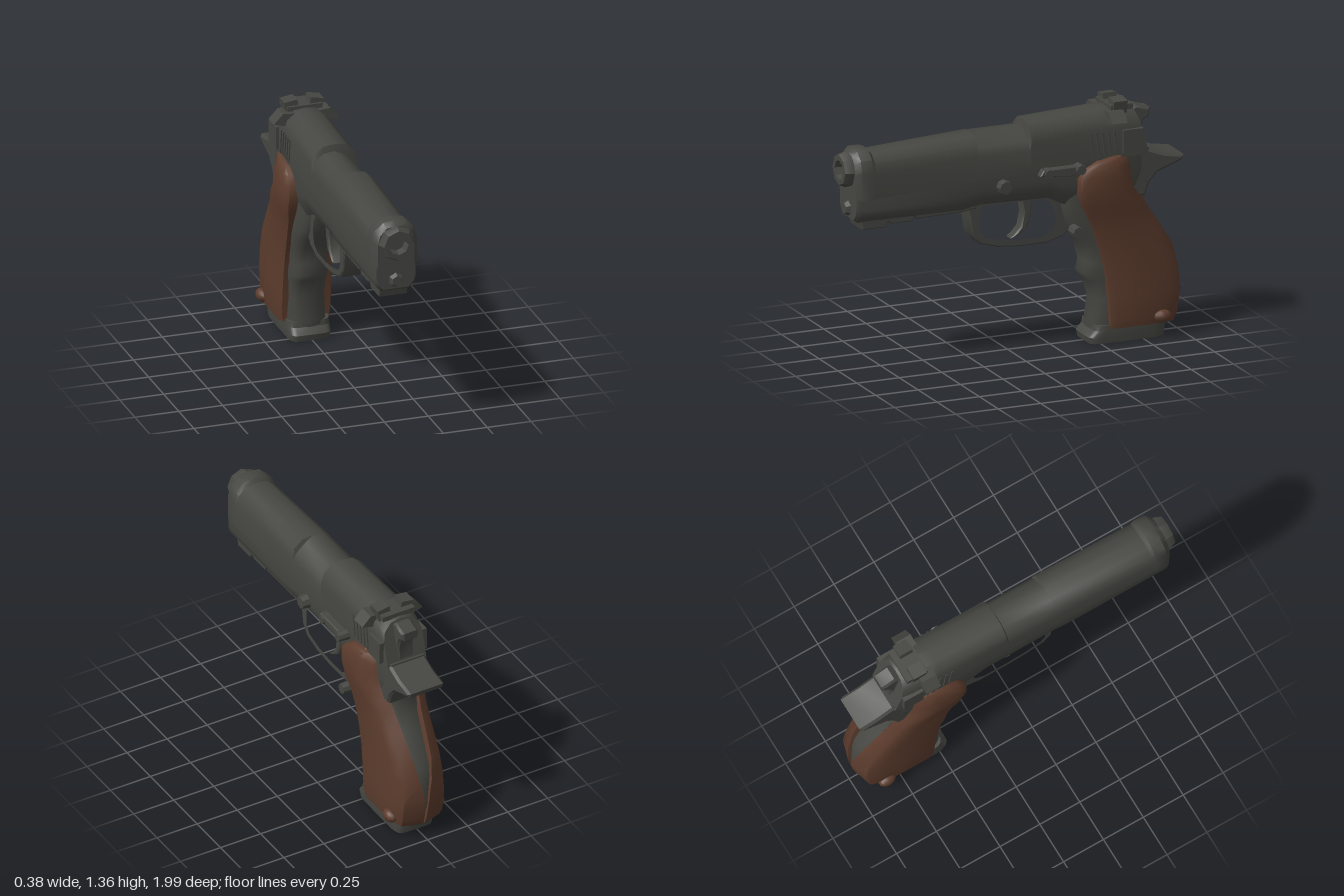
import * as THREE from 'three';
import { toCreasedNormals } from 'three/addons/utils/BufferGeometryUtils.js';

const V = (x, y, z) => new THREE.Vector3(x, y, z);

// Skin through closed rings of equal length, capped at both ends.
// Points run anticlockwise as seen from the end the rings advance towards.
function loft(rings, crease = 0.7) {
  const pos = [], idx = [], n = rings[0].length;
  rings.forEach(r => r.forEach(p => pos.push(p.x, p.y, p.z)));
  for (let i = 0; i < rings.length - 1; i++) {
    for (let j = 0; j < n; j++) {
      const k = (j + 1) % n, a = i * n + j, b = i * n + k;
      idx.push(a, b, b + n, a, b + n, a + n);
    }
  }
  [0, rings.length - 1].forEach(i => {
    const c = V(0, 0, 0);
    rings[i].forEach(p => c.addScaledVector(p, 1 / n));
    const ci = pos.length / 3;
    pos.push(c.x, c.y, c.z);
    for (let j = 0; j < n; j++) {
      const a = i * n + j, b = i * n + (j + 1) % n;
      idx.push(ci, i ? a : b, i ? b : a);
    }
  });
  const g = new THREE.BufferGeometry();
  g.setAttribute('position', new THREE.Float32BufferAttribute(pos, 3));
  g.setIndex(idx);
  return toCreasedNormals(g, crease);
}

// Side profile of [z, y] points, extruded evenly about x
function profile(points, halfWidth, bevel = 0.01, hole = null) {
  const shape = new THREE.Shape(points.map(p => new THREE.Vector2(...p)));
  if (hole) shape.holes.push(new THREE.Path(hole.map(p => new THREE.Vector2(...p))));
  const depth = 2 * (halfWidth - bevel);
  const g = new THREE.ExtrudeGeometry(shape, {
    depth, bevelEnabled: bevel > 0, bevelSize: bevel, bevelThickness: bevel, bevelOffset: -bevel, bevelSegments: 1,
  });
  g.translate(0, 0, -depth / 2).rotateY(-Math.PI / 2);
  return toCreasedNormals(g, 0.6);
}

// Slide section: flat sides and a rounded top; lean slopes the end face
function slideRing([z, w, yb, yt, cut = 0, lean = 0]) {
  const half = [[1, yb], [1, yt - 0.11], [0.88, yt - 0.05], [0.5, yt - 0.008]];
  const right = half.map(([k, y], i) => [k * w - (i > 1 ? cut : 0), y - (i > 1 ? cut : 0)]);
  const left = half.map(([k, y]) => [-k * w, y]).reverse();
  return [...right, [0, yt], ...left].map(([x, y]) => V(x, y, z - lean * (yt - y)));
}

// Frame section: straight upper sides, tapered underside
function frameRing([z, w, yb, yt]) {
  const h = yt - yb;
  const half = [[0.65, yb], [0.92, yb + h * 0.25], [1, yb + h * 0.5], [1, yt]];
  return [...half, ...half.map(([k, y]) => [-k, y]).reverse()].map(([k, y]) => V(k * w, y, z));
}

// Rounded-box section lying flat at height y
function gripRing([y, zf, zb, w, e = 0.6]) {
  const pow = v => Math.sign(v) * Math.abs(v) ** e;
  return Array.from({ length: 24 }, (_, i) => {
    const t = i / 24 * Math.PI * 2;
    return V(w * pow(Math.cos(t)), y, (zf + zb) / 2 - (zf - zb) / 2 * pow(Math.sin(t)));
  });
}

// Grip panel section wrapping from the front seam round to the back seam
function panelRing([y, zf, zb, w, xs], side) {
  const pts = [[0.09, zf], [w - 0.015, zf], [w, zf - 0.035], [w, (zf + zb) / 2], [w - 0.004, zb + 0.1],
    [w * 0.82, zb + 0.03], [xs, zb - 0.004], [xs * 0.8, zb + 0.05]];
  const ring = pts.map(([x, z]) => V(side * x, y, z));
  return side > 0 ? ring : ring.reverse();
}

export function createModel() {
  const model = new THREE.Group();
  const steel = new THREE.MeshStandardMaterial({ name: 'dark steel', color: 0x464742 });
  const wood = new THREE.MeshStandardMaterial({ name: 'brown wood', color: 0x5c3c2d });
  const add = (name, geo, mat = steel, x = 0, y = 0, z = 0) => {
    const m = new THREE.Mesh(geo, mat);
    m.name = name;
    m.position.set(x, y, z);
    model.add(m);
    return m;
  };
  const box = (name, w, h, d, x, y, z) => add(name, new THREE.BoxGeometry(w, h, d), steel, x, y, z);

  // Slide, with a step behind the ejection port and a collar at the front
  add('slide', loft([
    [-0.71, 0.12, 1.04, 1.3, 0, 0.28], [-0.66, 0.128, 1.04, 1.315, 0, 0.15], [-0.5, 0.13, 1.04, 1.312],
    [-0.085, 0.13, 1.03, 1.292], [-0.075, 0.13, 1.03, 1.255, 0.015], [0.22, 0.13, 1.01, 1.255, 0.015],
    [0.23, 0.13, 1.01, 1.258], [0.83, 0.128, 0.98, 1.225], [0.85, 0.13, 0.98, 1.248],
    [0.915, 0.128, 0.98, 1.248], [0.945, 0.105, 0.99, 1.225],
  ].map(slideRing)));

  // Frame under the slide
  add('frame', loft([
    [-0.79, 0.1, 0.88, 1.07], [-0.7, 0.122, 0.8, 1.06], [-0.3, 0.122, 0.8, 1.055], [-0.2, 0.122, 0.85, 1.05],
    [0.2, 0.122, 0.86, 1.03], [0.3, 0.122, 0.84, 1.02], [0.92, 0.122, 0.845, 0.995], [0.94, 0.11, 0.86, 0.995],
  ].map(frameRing)));

  // Accessory rail with notches
  add('rail', profile([[0.91, 0.88], [0.89, 0.8], [0.76, 0.8], [0.74, 0.83], [0.72, 0.815], [0.6, 0.815],
    [0.585, 0.84], [0.57, 0.825], [0.3, 0.83], [0.22, 0.84], [0.22, 0.9]], 0.082, 0.006));

  // Muzzle with open bore, and the rod below it
  const muzzle = [[0.1, 0], [0.1, 0.04], [0.085, 0.075], [0.055, 0.075], [0.045, 0.01], [0, 0.01]];
  const bore = new THREE.LatheGeometry(muzzle.map(p => new THREE.Vector2(...p)), 8).rotateX(Math.PI / 2);
  add('muzzle', toCreasedNormals(bore, 0.5), steel, 0, 1.13, 0.92);
  const rod = new THREE.CylinderGeometry(0.03, 0.05, 0.04, 6).rotateX(Math.PI / 2);
  add('recoilRod', toCreasedNormals(rod, 0.5), steel, 0, 0.91, 0.945);

  // Trigger and its guard
  add('triggerGuard', profile(
    [[0.27, 0.87], [0.25, 0.79], [0.235, 0.69], [0.19, 0.63], [0.08, 0.6], [-0.05, 0.588], [-0.21, 0.59],
      [-0.31, 0.62], [-0.38, 0.7], [-0.36, 0.87]], 0.06, 0.008,
    [[0.185, 0.85], [0.2, 0.79], [0.2, 0.7], [0.165, 0.655], [0.06, 0.628], [-0.05, 0.618], [-0.19, 0.62],
      [-0.25, 0.655], [-0.268, 0.72], [-0.255, 0.79], [-0.2, 0.85]]));
  add('trigger', profile([[-0.06, 0.88], [-0.08, 0.77], [-0.065, 0.69], [-0.03, 0.65], [-0.005, 0.63],
    [-0.05, 0.642], [-0.1, 0.68], [-0.12, 0.74], [-0.145, 0.88]], 0.035, 0.008));

  // Grip core: front strap and back strap
  add('gripCore', loft([
    [0.06, -0.47, -0.93, 0.11], [0.1, -0.465, -0.95, 0.118], [0.24, -0.485, -0.985, 0.12],
    [0.35, -0.445, -0.97, 0.12], [0.39, -0.415, -0.965, 0.12], [0.45, -0.43, -0.945, 0.12],
    [0.56, -0.4, -0.875, 0.12], [0.63, -0.345, -0.835, 0.12], [0.7, -0.3, -0.79, 0.118],
    [0.79, -0.28, -0.765, 0.118], [0.88, -0.27, -0.775, 0.12], [1.0, -0.28, -0.79, 0.12],
  ].map(r => gripRing(r)), 1));

  // Magazine base plate
  add('magazineBase', loft([
    [0, -0.445, -0.885, 0.118, 0.3], [0.035, -0.438, -0.89, 0.122, 0.3],
    [0.07, -0.47, -0.89, 0.122, 0.3], [0.1, -0.475, -0.92, 0.122, 0.3],
  ].map(r => gripRing(r)), 0.5));

  // Wooden grip panels, their lower bosses and the rear sight parts, one per side
  const panel = [
    [0.085, -0.55, -0.955, 0.145, 0.006], [0.13, -0.549, -0.975, 0.152, 0.006], [0.26, -0.54, -0.995, 0.152, 0.012],
    [0.38, -0.525, -0.982, 0.15, 0.035], [0.5, -0.5, -0.943, 0.15, 0.055], [0.64, -0.455, -0.853, 0.153, 0.068],
    [0.73, -0.415, -0.79, 0.16, 0.078], [0.79, -0.385, -0.757, 0.172, 0.085], [0.86, -0.36, -0.7, 0.178, 0.1],
    [0.95, -0.36, -0.685, 0.177, 0.1], [1.0, -0.405, -0.68, 0.168, 0.1], [1.035, -0.47, -0.675, 0.155, 0.1],
    [1.055, -0.56, -0.665, 0.14, 0.1],
  ];
  for (const side of [1, -1]) {
    const name = side > 0 ? 'left' : 'right';
    add(name + 'GripPanel', loft(panel.map(r => panelRing(r, side)), 0.9), wood);
    const boss = add(name + 'GripBoss', new THREE.SphereGeometry(0.04, 10, 8), wood, side * 0.148, 0.125, -0.85);
    boss.scale.set(0.85, 0.9, 1.3);

    const wing = new THREE.Shape([[0.06, 1.22], [0.13, 1.235], [0.188, 1.25], [0.135, 1.305], [0.07, 1.3]]
      .map(([x, y]) => new THREE.Vector2(side * x, y)));
    add(name + 'SightWing', new THREE.ExtrudeGeometry(wing, { depth: 0.09, bevelEnabled: false }), steel, 0, 0, -0.625);
    const post = box(name + 'SightPost', 0.075, 0.07, 0.08, side * 0.07, 1.32, -0.62);
    post.rotation.z = -side * 0.15;

    box(name + 'RearPlate', 0.03, 0.13, 0.12, side * 0.132, 1.13, -0.68);
    for (let i = 0; i < 5; i++) {
      const rib = box(name + 'Serration' + i, 0.012, 0.14, 0.012, side * 0.13, 1.13, -0.44 - i * 0.035);
      rib.rotation.x = 0.12;
    }
  }
  box('sightBase', 0.2, 0.03, 0.13, 0, 1.312, -0.63);

  // Hammer and rear tang
  add('hammer', profile([[-0.66, 1.08], [-0.68, 1.27], [-0.74, 1.298], [-0.79, 1.28], [-0.82, 1.275],
    [-0.818, 1.225], [-0.785, 1.21], [-0.765, 1.15], [-0.775, 1.05]], 0.05, 0.012));
  add('tang', profile([[-0.66, 1.08], [-0.79, 1.06], [-0.88, 1.025], [-0.995, 1.005], [-0.985, 0.975],
    [-0.9, 0.945], [-0.84, 0.925], [-0.79, 0.87], [-0.765, 0.8], [-0.66, 0.8]], 0.112, 0.014));

  // Controls on the left side: slide catch, its knob, takedown pin and magazine button
  add('slideCatch', profile([[-0.12, 1.0], [-0.14, 1.035], [-0.34, 1.035], [-0.36, 1.0], [-0.3, 0.98]], 0.025, 0.006),
    steel, 0.145, 0, 0);
  const knob = (name, r, length, x, y, z) => add(name, toCreasedNormals(
    new THREE.CylinderGeometry(r * 0.85, r, length, 8).rotateZ(-Math.PI / 2), 0.6), steel, x, y, z);
  knob('catchKnob', 0.032, 0.08, 0.15, 1.015, -0.355);
  knob('catchThumbRest', 0.03, 0.06, 0.15, 1.01, -0.17);
  knob('takedownPin', 0.042, 0.05, 0.14, 0.96, 0.08);
  knob('magazineButton', 0.035, 0.07, 0.125, 0.655, -0.35);
  return model;
}
